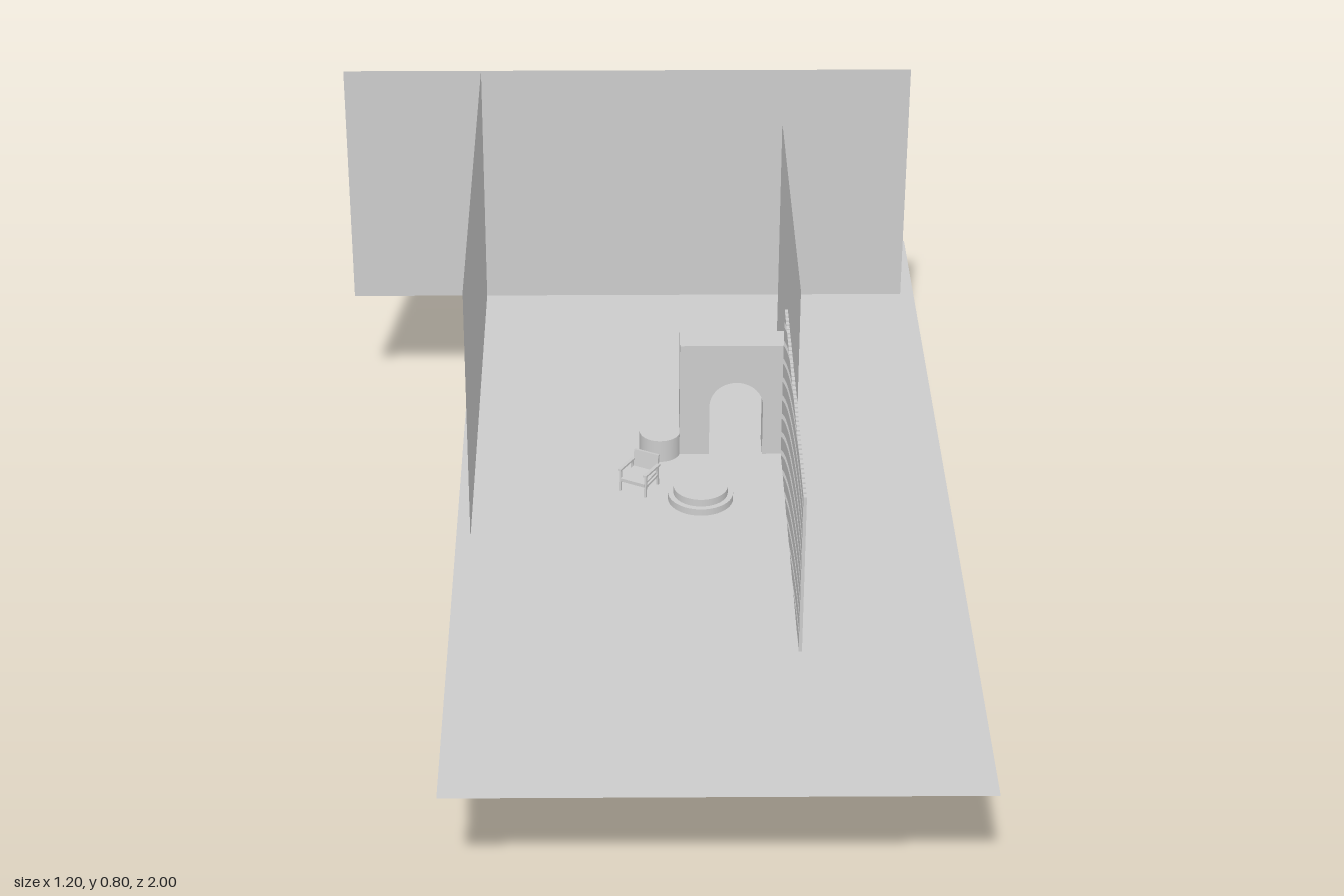
import * as THREE from 'three';

const FLOOR = 0.275;
const solid = new THREE.MeshStandardMaterial({ color: 0xcccccc });
const sheet = new THREE.MeshStandardMaterial({ color: 0xcccccc, side: THREE.DoubleSide });

function add(parent, name, geometry, x, y, z, material = solid) {
  const mesh = new THREE.Mesh(geometry, material);
  mesh.name = name;
  mesh.position.set(x, y, z);
  parent.add(mesh);
  return mesh;
}
const box = (w, h, d) => new THREE.BoxGeometry(w, h, d);

// Block pierced by a round-topped opening that runs down to its base
function archGeometry(w, h, d, left, right, springY) {
  const r = (right - left) / 2;
  const s = new THREE.Shape();
  s.moveTo(0, 0);
  s.lineTo(left, 0);
  s.lineTo(left, springY);
  s.absarc(left + r, springY, r, Math.PI, 0, true);
  s.lineTo(right, 0);
  s.lineTo(w, 0);
  s.lineTo(w, h);
  s.lineTo(0, h);
  s.closePath();
  return new THREE.ExtrudeGeometry(s, { depth: d, bevelEnabled: false, curveSegments: 24 });
}

// Small armchair, facing +z, standing on y = 0
function createChair() {
  const chair = new THREE.Group();
  chair.name = 'armchair';
  add(chair, 'seat', box(0.05, 0.007, 0.056), 0, 0.025, 0);
  const back = add(chair, 'backrest', box(0.052, 0.034, 0.006), 0, 0.045, -0.031);
  back.rotation.x = -0.15;
  for (const side of [-1, 1]) {
    for (const end of [-1, 1]) {
      const leg = add(chair, 'leg', box(0.004, 0.044, 0.005), side * 0.027, 0.022, end * 0.025);
      leg.rotation.x = -end * 0.08;
    }
    const arm = add(chair, 'armrest', box(0.007, 0.004, 0.06), side * 0.027, 0.045, 0);
    arm.rotation.x = -0.08;
    add(chair, 'sideRail', box(0.004, 0.005, 0.052), side * 0.027, 0.022, 0);
  }
  return chair;
}

export function createModel() {
  const model = new THREE.Group();
  model.name = 'courtyard';

  // Ground and thin walls; the side walls pass down through the ground
  const ground = add(model, 'ground', new THREE.PlaneGeometry(0.94, 2), 0.128, FLOOR, 0, sheet);
  ground.rotation.x = -Math.PI / 2;
  add(model, 'backWall', new THREE.PlaneGeometry(1.168, 0.525), -0.014, 0.5375, -0.754, sheet);
  for (const [name, x, z0, z1] of [['rightWall', -0.315, -0.757, 0.203], ['leftWall', 0.293, -0.5, 0.203]]) {
    const wall = add(model, name, new THREE.PlaneGeometry(z1 - z0, 0.8), x, 0.4, (z0 + z1) / 2, sheet);
    wall.rotation.y = Math.PI / 2;
  }

  // Arched block whose end just breaks through the left wall
  add(model, 'archBlock', archGeometry(0.21, 0.3, 0.058, 0.058, 0.162, 0.166), 0.084, 0.218, -0.156);

  // Slatted fence along the left wall
  const fence = new THREE.Group();
  fence.name = 'fence';
  const slats = 42, z0 = -0.09, z1 = 0.573;
  const slat = box(0.006, 0.38, 0.0115);
  for (let i = 0; i < slats; i++) {
    add(fence, 'fenceSlat', slat, 0.286, 0.409, z0 + (z1 - z0) * i / (slats - 1));
  }
  model.add(fence);

  // Two-tier round fire pit
  add(model, 'firePitBase', new THREE.CylinderGeometry(0.0625, 0.0625, 0.014, 48), 0.1215, FLOOR + 0.007, 0.065);
  add(model, 'firePitTop', new THREE.CylinderGeometry(0.052, 0.052, 0.015, 48), 0.1215, FLOOR + 0.0215, 0.065);

  // Round side table
  add(model, 'sideTable', new THREE.CylinderGeometry(0.04, 0.04, 0.047, 40), 0.046, FLOOR + 0.0235, -0.109);

  const chair = createChair();
  chair.position.set(0.004, FLOOR, 0.024);
  chair.rotation.y = -0.48;
  model.add(chair);

  return model;
}
